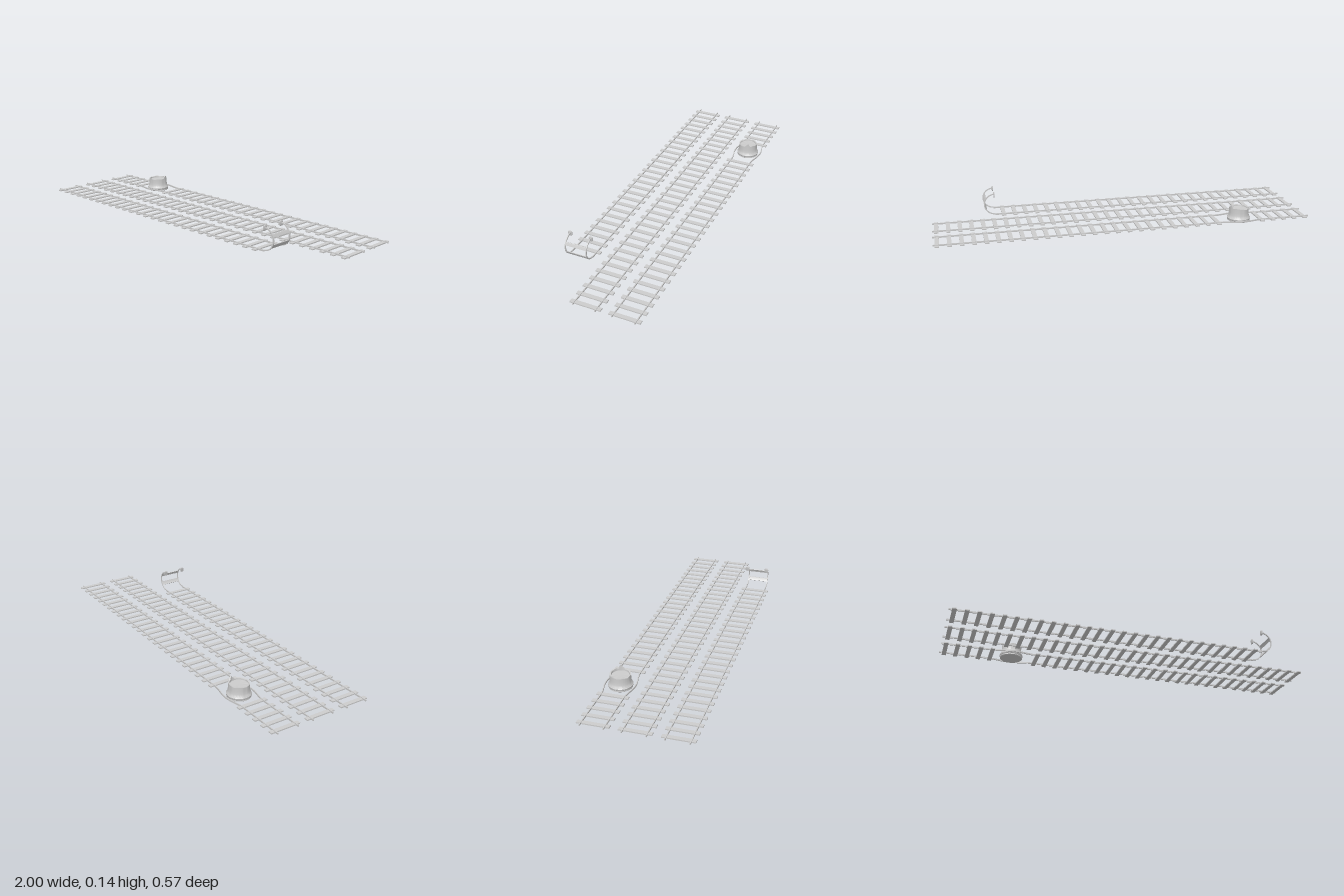
import * as THREE from 'three';
import { toCreasedNormals } from 'three/addons/utils/BufferGeometryUtils.js';

const material = new THREE.MeshStandardMaterial({ color: 0xcccccc, side: THREE.DoubleSide });
const RAIL_Y = 0.01, RAIL_H = 0.008, RAIL_W = 0.005, GAUGE = 0.058;
const TRACK_Z = 0.2025, PITCH = 0.061, FIRST = -0.973;
const LOOP = { x: 0.66, y: 0.073, r: 0.059, t: 0.006 };
const STUMP_X = -0.62;

function add(parent, name, geometry, x = 0, y = 0, z = 0) {
  const mesh = new THREE.Mesh(geometry, material);
  mesh.name = name;
  mesh.position.set(x, y, z);
  parent.add(mesh);
  return mesh;
}

// Row of sleepers, leaving out the indices for which skip() is true
function addSleepers(track, count, skip = () => false) {
  const geometry = new THREE.BoxGeometry(0.022, 0.006, 0.161);
  for (let i = 0; i < count; i++) {
    if (!skip(i)) add(track, 'sleeper', geometry, FIRST + i * PITCH, 0.012, 0);
  }
}

function addStraightRails(track, x0, x1) {
  const geometry = new THREE.BoxGeometry(x1 - x0, RAIL_H, RAIL_W);
  for (const s of [-1, 1]) add(track, 'rail', geometry, (x0 + x1) / 2, RAIL_Y + RAIL_H / 2, s * GAUGE);
}

// Rail that swells outwards around the stump
function bentRailGeometry(side) {
  const centre = [];
  for (let i = 0; i <= 28; i++) {
    const x = STUMP_X - 0.12 + 0.24 * i / 28;
    const bulge = 0.018 * (0.5 + 0.5 * Math.cos((x - STUMP_X) / 0.12 * Math.PI));
    centre.push([x, side * (GAUGE + bulge)]);
  }
  centre.unshift([-1, side * GAUGE]);
  centre.push([1, side * GAUGE]);
  const h = RAIL_W / 2;
  const outline = [
    ...centre.map(([x, z]) => new THREE.Vector2(x, -z - h)),
    ...centre.reverse().map(([x, z]) => new THREE.Vector2(x, -z + h)),
  ];
  const g = new THREE.ExtrudeGeometry(new THREE.Shape(outline), { depth: RAIL_H, bevelEnabled: false });
  return toCreasedNormals(g.rotateX(-Math.PI / 2), 0.5);
}

// Curved strip around the loop centre, between two angles in degrees
function arcGeometry(a0, a1, width, thickness) {
  const [s, e] = [a0, a1].map(THREE.MathUtils.degToRad);
  const shape = new THREE.Shape();
  shape.absarc(0, 0, LOOP.r, s, e, false);
  shape.absarc(0, 0, LOOP.r - thickness, e, s, true);
  const g = new THREE.ExtrudeGeometry(shape, { depth: width, bevelEnabled: false, curveSegments: 28 });
  return toCreasedNormals(g.translate(0, 0, -width / 2), 0.5);
}

// Rounded end pad, broader at the top than at the bottom
function padGeometry() {
  const s = new THREE.Shape();
  s.moveTo(-0.006, -0.0125);
  s.lineTo(0.006, -0.0125);
  s.quadraticCurveTo(0.0085, -0.011, 0.0095, -0.004);
  s.quadraticCurveTo(0.0125, 0.012, 0.004, 0.0125);
  s.lineTo(-0.004, 0.0125);
  s.quadraticCurveTo(-0.0125, 0.012, -0.0095, -0.004);
  s.quadraticCurveTo(-0.0085, -0.011, -0.006, -0.0125);
  const g = new THREE.ExtrudeGeometry(s, {
    depth: 0.003, bevelThickness: 0.0015, bevelSize: 0.001, bevelSegments: 2, curveSegments: 6,
  });
  return toCreasedNormals(g.translate(0, 0, -0.0015).rotateY(Math.PI / 2), 0.6);
}

// Height of the splintered rim: [angle in degrees, height above the trunk top]
const RIM = [
  [-180, -0.002], [-150, 0.001], [-120, -0.003], [-90, 0.002], [-65, 0.003], [-50, 0.006], [-32, 0.001],
  [-20, 0.02], [5, 0], [40, 0], [70, -0.003], [95, 0], [120, -0.004], [145, 0], [180, -0.002],
];
function rimHeight(deg) {
  let i = 1;
  while (i < RIM.length - 1 && deg > RIM[i][0]) i++;
  const [a, b] = [RIM[i - 1], RIM[i]];
  return THREE.MathUtils.mapLinear(deg, a[0], b[0], a[1], b[1]);
}

// Hollow broken trunk with a rounded foot
function stumpGeometry() {
  const profile = [
    [0, 0], [0.056, 0], [0.06, 0.003], [0.0595, 0.009], [0.062, 0.013], [0.062, 0.018], [0.059, 0.021],
    [0.0565, 0.026], [0.054, 0.036], [0.0525, 0.05], [0.0525, 0.072], [0.046, 0.071], [0.045, 0.063], [0, 0.063],
  ].map(([r, y]) => new THREE.Vector2(r, y));
  const g = new THREE.LatheGeometry(profile, 72);
  const p = g.attributes.position;
  for (let i = 0; i < p.count; i++) {
    if (p.getY(i) < 0.07) continue;
    const deg = THREE.MathUtils.radToDeg(Math.atan2(p.getZ(i), p.getX(i)));
    p.setY(i, p.getY(i) + rimHeight(deg));
  }
  return toCreasedNormals(g, 0.6);
}

export function createModel() {
  const model = new THREE.Group();
  model.name = 'railwayTracks';
  const [back, middle, front] = ['trackAroundStump', 'straightTrack', 'trackWithCurledEnd'].map((name, i) => {
    const track = new THREE.Group();
    track.name = name;
    track.position.z = (i - 1) * TRACK_Z;
    model.add(track);
    return track;
  });

  // Track parting around a tree stump
  addSleepers(back, 33, (i) => i >= 5 && i <= 7);
  for (const s of [-1, 1]) add(back, 'bentRail', bentRailGeometry(s), 0, RAIL_Y, 0);
  add(back, 'stump', stumpGeometry(), STUMP_X, 0, 0);

  // Plain track
  addSleepers(middle, 33);
  addStraightRails(middle, -1, 1);

  // Track whose rails curl up into a buffer stop
  addSleepers(front, 27);
  addStraightRails(front, -1, LOOP.x);
  const curl = arcGeometry(-90, 90, RAIL_W, LOOP.t);
  const pad = padGeometry();
  for (const s of [-1, 1]) {
    add(front, 'curledRail', curl, LOOP.x, LOOP.y, s * GAUGE);
    add(front, 'bufferPad', pad, LOOP.x + 0.002, 0.127, s * GAUGE);
  }
  add(front, 'upperCrossbar', arcGeometry(17, 35, 2 * GAUGE, 0.004), LOOP.x, LOOP.y, 0);
  add(front, 'lowerCrossbar', arcGeometry(-41, -19, 2 * GAUGE, 0.004), LOOP.x, LOOP.y, 0);
  return model;
}
